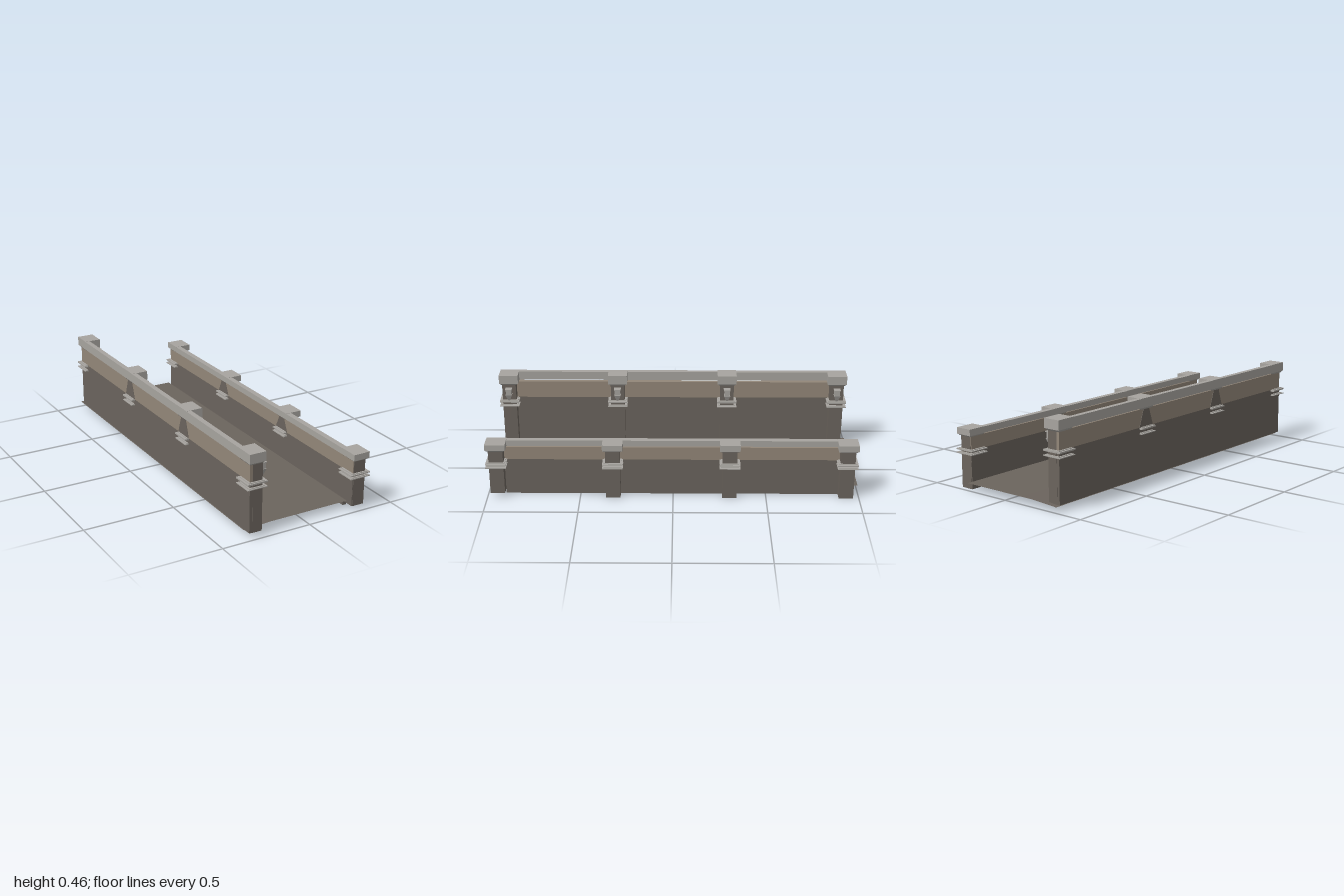
import * as THREE from 'three';

const mat = (name, color, side = THREE.FrontSide) => {
  const m = new THREE.MeshStandardMaterial({ color, side });
  m.name = name;
  return m;
};

export function createModel() {
  const darkStone = mat('dark stone', 0x6b645d);
  const tanStone = mat('tan stone', 0x938779);
  const trimStone = mat('light trim stone', 0xa7a49f);
  const floorStone = mat('floor stone', 0x6b645d, THREE.DoubleSide);
  const model = new THREE.Group();
  model.name = 'walledWalkway';

  // Box from min/max limits; the underside can be shrunk to make a taper
  function block(parent, name, material, [x0, x1], [y0, y1], [z0, z1], sx = 1, sz = sx) {
    const g = new THREE.BoxGeometry(x1 - x0, y1 - y0, z1 - z0);
    const p = g.attributes.position;
    for (let i = 0; i < p.count; i++) {
      if (p.getY(i) < 0) p.setXYZ(i, p.getX(i) * sx, p.getY(i), p.getZ(i) * sz);
    }
    const flat = g.toNonIndexed();
    flat.computeVertexNormals();
    const mesh = new THREE.Mesh(flat, material);
    mesh.name = name;
    mesh.position.set((x0 + x1) / 2, (y0 + y1) / 2, (z0 + z1) / 2);
    parent.add(mesh);
  }

  const pillarZ = [0.943, 0.322, -0.303, -0.93];
  const around = (c, half) => [c - half, c + half];

  const walls = [
    {
      name: 'tallWall', panel: [-0.34, -0.315], rail: [-0.353, -0.325], pillar: [-0.338, -0.27],
      cap: [-0.353, -0.26], band: [-0.362, -0.25], plateX: -0.342,
      base: 0.03, frontBase: 0.03, split: 0.302, top: 0.398, railY: [0.406, 0.455],
      bands: [[0.291, 0.303], [0.266, 0.274]], lanterns: true,
    },
    {
      name: 'lowWall', panel: [0.266, 0.288], rail: [0.257, 0.288], pillar: [0.27, 0.338],
      cap: [0.257, 0.351], band: [0.243, 0.36], plateX: 0.264,
      base: 0, frontBase: 0.026, split: 0.205, top: 0.278, railY: [0.284, 0.317],
      bands: [[0.2, 0.209], [0.181, 0.19]], lanterns: false,
    },
  ];

  for (const w of walls) {
    const wall = new THREE.Group();
    wall.name = w.name;
    model.add(wall);

    // Two-tone panel and top rail
    block(wall, 'lowerPanel', darkStone, w.panel, [w.base, w.split], [-0.968, 0.905]);
    block(wall, 'lowerPanelEnd', darkStone, w.panel, [w.frontBase, w.split], [0.905, 0.98]);
    block(wall, 'upperPanel', tanStone, w.panel, [w.split, w.top], [-0.968, 0.98]);
    block(wall, 'rail', trimStone, w.rail, w.railY, [-0.983, 0.996]);

    pillarZ.forEach((z, i) => {
      const post = new THREE.Group();
      post.name = 'pillar' + (i + 1);
      wall.add(post);

      // Shaft, bevelled neck and cap
      const shaftX = [...w.pillar];
      if (w.lanterns) shaftX[0] = -0.325;
      block(post, 'shaft', darkStone, shaftX, [i ? w.base : w.frontBase, w.top], around(z, 0.039));
      block(post, 'capNeck', trimStone, w.cap, [w.top - 0.003, w.railY[0] + 0.001], around(z, 0.053), 0.78);
      block(post, 'cap', trimStone, w.cap, [w.railY[0], w.railY[1] + 0.001], around(z, 0.054));

      // Paired bands running through the wall
      const [bx0, bx1] = w.band;
      for (const [y0, y1] of w.bands) {
        block(post, 'band', trimStone, w.band, [y0 + 0.002, y1 - 0.002], around(z, 0.055));
        block(post, 'bandCore', trimStone, [bx0 + 0.012, bx1 - 0.012], [y0 - 0.001, y1 + 0.001], around(z, 0.048));
      }

      // Dark tapered plate on the flat side of the wall
      if (i === 1 || i === 2) {
        const h = w.top - w.split;
        const shape = new THREE.Shape([
          new THREE.Vector2(-0.055, 0), new THREE.Vector2(0.055, 0),
          new THREE.Vector2(0.022, h), new THREE.Vector2(-0.022, h),
        ]);
        const g = new THREE.ExtrudeGeometry(shape, { depth: 0.004, bevelEnabled: false });
        g.translate(0, 0, -0.002);
        g.rotateY(Math.PI / 2);
        const plate = new THREE.Mesh(g, darkStone);
        plate.name = 'taperedPlate';
        plate.position.set(w.plateX + 0.0015, w.split, z);
        post.add(plate);
      }

      // Small lantern with lid and pointed base
      if (w.lanterns) {
        block(post, 'lanternLid', trimStone, [-0.271, -0.234], [0.376, 0.381], around(z, 0.019));
        block(post, 'lanternBody', trimStone, [-0.27, -0.237], [0.344, 0.376], around(z, 0.015));
        block(post, 'lanternBase', trimStone, [-0.271, -0.234], [0.31, 0.345], around(z, 0.018), 0.3);
      }
    });
  }

  // Thin floor sheet that dips slightly along the tall wall
  const floor = new THREE.PlaneGeometry(0.611, 1.94, 8, 1);
  floor.rotateX(-Math.PI / 2);
  floor.translate(-0.0395, 0.04, -0.03);
  const fp = floor.attributes.position;
  for (let i = 0; i < fp.count; i++) {
    fp.setY(i, 0.04 - 0.07 * Math.max(0, -0.2 - fp.getX(i)));
  }
  floor.computeVertexNormals();
  const floorMesh = new THREE.Mesh(floor, floorStone);
  floorMesh.name = 'floor';
  model.add(floorMesh);

  return model;
}
